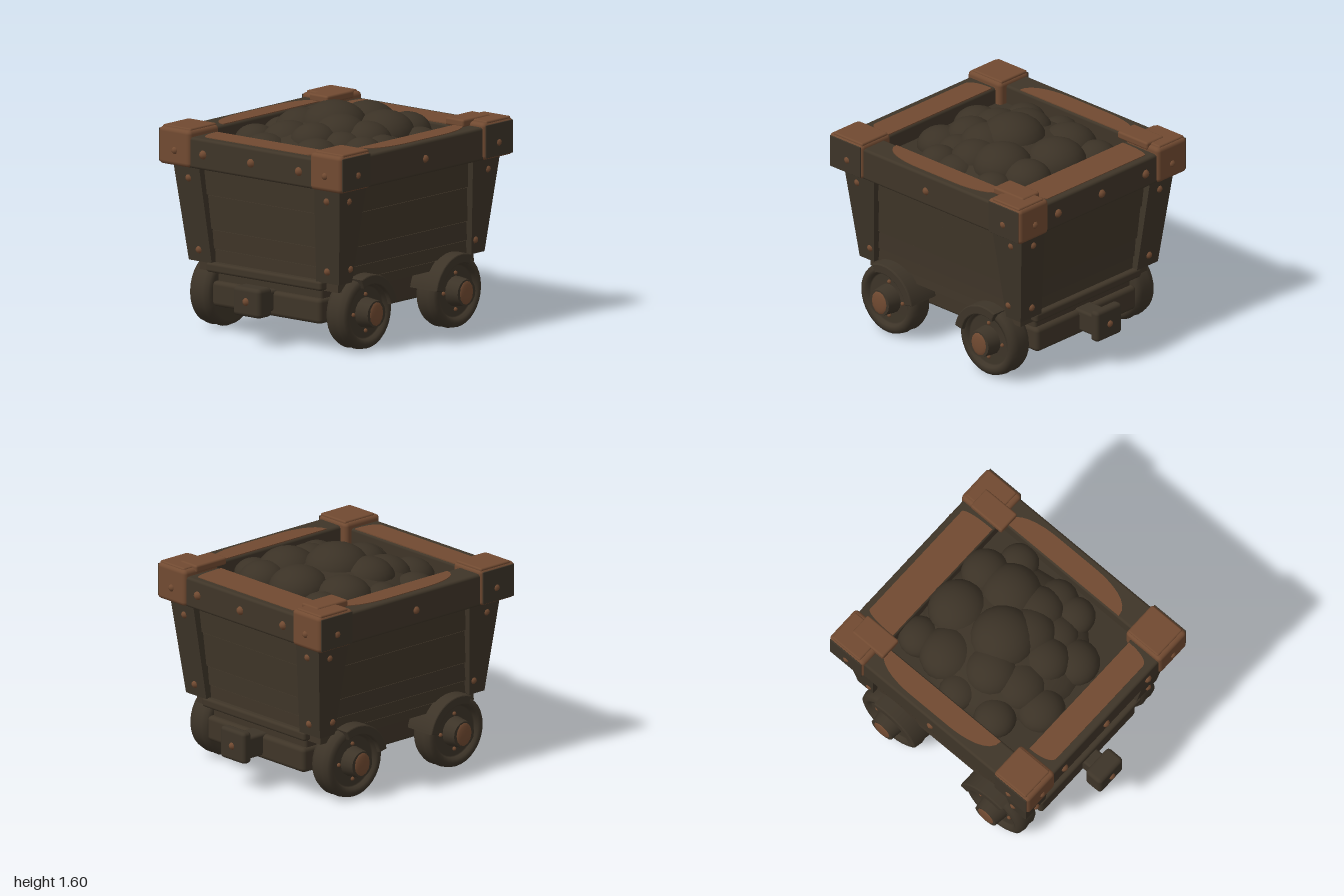
import * as THREE from 'three';
import { RoundedBoxGeometry } from 'three/addons/geometries/RoundedBoxGeometry.js';

const mat = (name, color) => {
  const m = new THREE.MeshStandardMaterial({ color });
  m.name = name;
  return m;
};

export function createModel() {
  const root = new THREE.Group();
  root.name = 'mineCart';
  const wood = mat('dark wood', 0x3f3528);
  const iron = mat('dark iron', 0x3d3428);
  const coal = mat('coal', 0x3b3226);
  const copper = mat('copper brown', 0x714a31);

  const add = (name, geo, material, x = 0, y = 0, z = 0, parent = root) => {
    const m = new THREE.Mesh(geo, material);
    m.name = name;
    m.position.set(x, y, z);
    parent.add(m);
    return m;
  };

  // Rounded block from its limits
  const block = (name, material, x0, x1, y0, y1, z0, z1, r = 0.02) =>
    add(name, new RoundedBoxGeometry(Math.abs(x1 - x0), y1 - y0, Math.abs(z1 - z0), 2, r),
      material, (x0 + x1) / 2, (y0 + y1) / 2, (z0 + z1) / 2);

  // Six-sided block whose bottom and top rectangles [x0, x1, z0, z1] differ
  const taper = (name, material, y0, y1, bottom, top) => {
    const g = new THREE.BoxGeometry(1, 1, 1);
    const p = g.attributes.position;
    for (let i = 0; i < p.count; i++) {
      const up = p.getY(i) > 0;
      const [xa, xb, za, zb] = up ? top : bottom;
      p.setXYZ(i,
        p.getX(i) < 0 ? Math.min(xa, xb) : Math.max(xa, xb),
        up ? y1 : y0,
        p.getZ(i) < 0 ? Math.min(za, zb) : Math.max(za, zb));
    }
    g.computeVertexNormals();
    return add(name, g, material);
  };

  const boltGeo = new THREE.SphereGeometry(0.028, 8, 6);
  const bolt = (x, y, z, s = 1) => add('bolt', boltGeo, copper, x, y, z).scale.setScalar(s);

  // Hopper: stacked plank courses that widen upward
  const hx = y => 0.63 + (y - 0.43) * 0.115;
  const hz = y => 0.72 + (y - 0.43) * 0.115;
  const rect = (y, o) => [-hx(y) - o, hx(y) + o, -hz(y) - o, hz(y) + o];
  const courses = [0.43, 0.5, 0.6, 0.74, 0.99, 1.24];
  for (let i = 0; i < courses.length - 1; i++) {
    const a = courses[i], b = courses[i + 1];
    taper('plankCourse', wood, a, b - 0.008, rect(a, 0.008), rect(b, -0.004));
    if (b < 1.2) taper('plankGap', wood, b - 0.008, b, rect(b, -0.012), rect(b, -0.012));
  }

  // Corner posts with bolts
  for (const s of [-1, 1]) for (const f of [-1, 1]) {
    taper('cornerPost', iron, 0.5, 1.2,
      [s * 0.48, s * 0.69, f * 0.64, f * 0.78],
      [s * 0.53, s * 0.765, f * 0.57, f * 0.86]);
    bolt(s * 0.635, 1.1, f * 0.84);
    bolt(s * 0.59, 0.585, f * 0.783);
    bolt(s * 0.742, 1.1, f * 0.745);
    bolt(s * 0.69, 0.6, f * 0.67);
  }

  // Rim rails
  block('frontRail', wood, -0.78, 0.78, 1.19, 1.41, 0.66, 0.92);
  block('backRail', wood, -0.78, 0.78, 1.19, 1.41, -0.9, -0.59);
  for (const s of [-1, 1]) block('sideRail', wood, s * 0.61, s * 0.825, 1.19, 1.425, -0.86, 0.86);

  // Worn tops of the rails: straight inner edge, bowed outer edge
  const wornTop = (length, width, corner) => {
    const h = length / 2, sh = new THREE.Shape();
    sh.moveTo(-h, 0);
    sh.lineTo(h, 0);
    sh.bezierCurveTo(h, width * 0.8, h - corner * 0.6, width, h - corner, width);
    sh.lineTo(-h + corner, width);
    sh.bezierCurveTo(-h + corner * 0.6, width, -h, width * 0.8, -h, 0);
    return new THREE.ExtrudeGeometry(sh, { depth: 0.008, bevelEnabled: false, curveSegments: 8 })
      .rotateX(-Math.PI / 2);
  };
  add('wornFrontTop', wornTop(1.05, 0.19, 0.07), copper, 0, 1.407, 0.67).rotation.y = Math.PI;
  add('wornBackTop', wornTop(1.05, 0.25, 0.04), copper, 0, 1.407, -0.6);
  for (const s of [-1, 1])
    add('wornSideTop', wornTop(1.06, 0.155, 0.35), copper, s * 0.622, 1.422, -0.04).rotation.y = -s * Math.PI / 2;

  // Corner caps: copper block, dark outer cheek, overlapping strap on top
  for (const s of [-1, 1]) for (const f of [-1, 1]) {
    const inner = f > 0 ? 0.61 : 0.6, outer = f > 0 ? 0.935 : 0.92;
    block('cornerCap', copper, s * 0.55, s * 0.842, 1.19, 1.455, f * inner, f * outer, 0.03);
    block('capCheek', iron, s * 0.838, s * 0.847, 1.205, 1.44, f * (inner + 0.015), f * (outer - 0.015), 0.003);
    if (f > 0) block('capStrap', copper, s * 0.57, s * 0.83, 1.43, 1.465, 0.62, 0.9, 0.012);
    else {
      block('capStrap', copper, s * 0.54, s * 0.71, 1.42, 1.475, -0.82, -0.53, 0.015);
      block('capStrap', copper, s * 0.58, s * 0.83, 1.43, 1.465, -0.9, -0.64, 0.012);
    }
    bolt(s * 0.69, 1.3, f * (outer - 0.01));
    bolt(s * 0.83, 1.3, f * 0.755, 1.1);
  }

  // Rail bolts
  for (const x of [-0.44, 0, 0.44]) {
    bolt(x, 1.3, 0.912, 1.2);
    bolt(x, 1.3, -0.892, 1.2);
  }
  for (const s of [-1, 1]) bolt(s * 0.815, 1.3, 0.01, 1.1);

  // Coal heap: broad mound carrying flattened lumps [x, z, radius, top height]
  add('coalBed', new THREE.BoxGeometry(1.24, 0.08, 1.28), coal, 0, 1.25, 0.03);
  const lumpGeo = new THREE.SphereGeometry(1, 20, 14);
  add('coalMound', lumpGeo, coal, -0.01, 1.25, -0.02).scale.set(0.6, 0.23, 0.62);
  const lumps = [
    [-0.38, -0.48, 0.14, 1.43], [-0.06, -0.4, 0.2, 1.53], [0.27, -0.44, 0.16, 1.49],
    [0.49, -0.32, 0.13, 1.43], [-0.35, -0.24, 0.19, 1.49], [-0.03, -0.01, 0.22, 1.6],
    [0.27, -0.2, 0.2, 1.54], [-0.5, -0.01, 0.13, 1.42], [-0.25, 0.08, 0.18, 1.53],
    [0.12, 0.1, 0.18, 1.54], [0.46, 0.06, 0.14, 1.43], [0.3, 0.03, 0.17, 1.5],
    [-0.48, 0.31, 0.14, 1.42], [-0.19, 0.29, 0.18, 1.48], [0.06, 0.31, 0.16, 1.5],
    [0.45, 0.24, 0.13, 1.44], [-0.22, 0.51, 0.16, 1.42], [0.2, 0.46, 0.16, 1.43],
    [0.25, 0.24, 0.15, 1.45]];
  for (const [x, z, r, top] of lumps)
    add('coalLump', lumpGeo, coal, x, top - r * 0.85, z).scale.set(r * 1.08, r * 0.85, r * 1.08);

  // Chassis, cross beams and floor plank
  block('chassis', wood, -0.48, 0.48, 0.21, 0.44, -0.72, 0.72);
  for (const f of [-1, 1]) block('crossBeam', wood, -0.5, 0.5, 0.19, 0.37, f * 0.56, f * 0.76, 0.03);
  block('floorPlank', wood, -0.53, 0.53, 0.435, 0.505, -0.78, 0.79);

  // Bumpers
  block('frontBumperStem', iron, -0.07, 0.07, 0.23, 0.38, 0.7, 0.86);
  block('frontBumper', iron, -0.125, 0.125, 0.21, 0.42, 0.83, 0.975, 0.03);
  block('backBumperStem', iron, -0.08, 0.08, 0.22, 0.38, -0.92, -0.7);
  block('backBumper', iron, -0.125, 0.125, 0.21, 0.44, -0.98, -0.905, 0.025);
  bolt(0, 0.32, 0.965, 1.1);
  bolt(0, 0.32, -0.972, 1.0);

  // Wheels: lathed tyre with recessed face, hub, copper hub cap and bolts
  const profile = [[0, 0.53], [0.22, 0.53], [0.25, 0.545], [0.265, 0.58], [0.258, 0.62],
    [0.265, 0.66], [0.255, 0.705], [0.225, 0.72], [0.2, 0.715], [0.19, 0.69], [0.18, 0.685], [0, 0.685]]
    .map(([r, x]) => new THREE.Vector2(r, x));
  const tyreGeo = new THREE.LatheGeometry(profile, 32);
  const hubGeo = new THREE.CylinderGeometry(0.095, 0.11, 0.12, 16);

  // Curved guard over the inward-facing upper part of each wheel
  const arch = new THREE.Shape();
  const a0 = 0.2, a1 = 1.95;
  arch.absarc(0, 0, 0.268, a0, a1, false);
  arch.absarc(0, 0, 0.215, a1, a0, true);
  const guardGeo = new THREE.ExtrudeGeometry(arch, {
    depth: 0.23, bevelEnabled: true, bevelSize: 0.008, bevelThickness: 0.01, bevelSegments: 2, curveSegments: 20,
  }).translate(0, 0, -0.115);

  for (const z of [0.495, -0.47]) {
    add('axle', new THREE.CylinderGeometry(0.07, 0.07, 1.1, 12), iron, 0, 0.265, z).rotation.z = Math.PI / 2;
    for (const s of [-1, 1]) {
      const wheel = new THREE.Group();
      wheel.name = 'wheel';
      wheel.position.set(0, 0.265, z);
      wheel.rotation.z = -s * Math.PI / 2;
      root.add(wheel);
      add('tyre', tyreGeo, iron, 0, 0, 0, wheel);
      add('hub', hubGeo, iron, 0, 0.73, 0, wheel);
      add('hubCap', new THREE.SphereGeometry(1, 12, 8), copper, 0, 0.785, 0, wheel).scale.set(0.09, 0.018, 0.075);
      for (let i = 0; i < 4; i++) {
        const a = i * Math.PI / 2;
        add('wheelBolt', boltGeo, copper, Math.cos(a) * 0.13, 0.688, Math.sin(a) * 0.13, wheel).scale.setScalar(0.55);
      }
      add('wheelGuard', guardGeo, iron, s * 0.625, 0.262, z).rotation.y = Math.sign(z) * Math.PI / 2;
      // Bearing box behind the wheel
      block('bearingBox', iron, s * 0.47, s * 0.535, 0.15, 0.45, z - 0.12, z + 0.12);
    }
  }
  return root;
}
